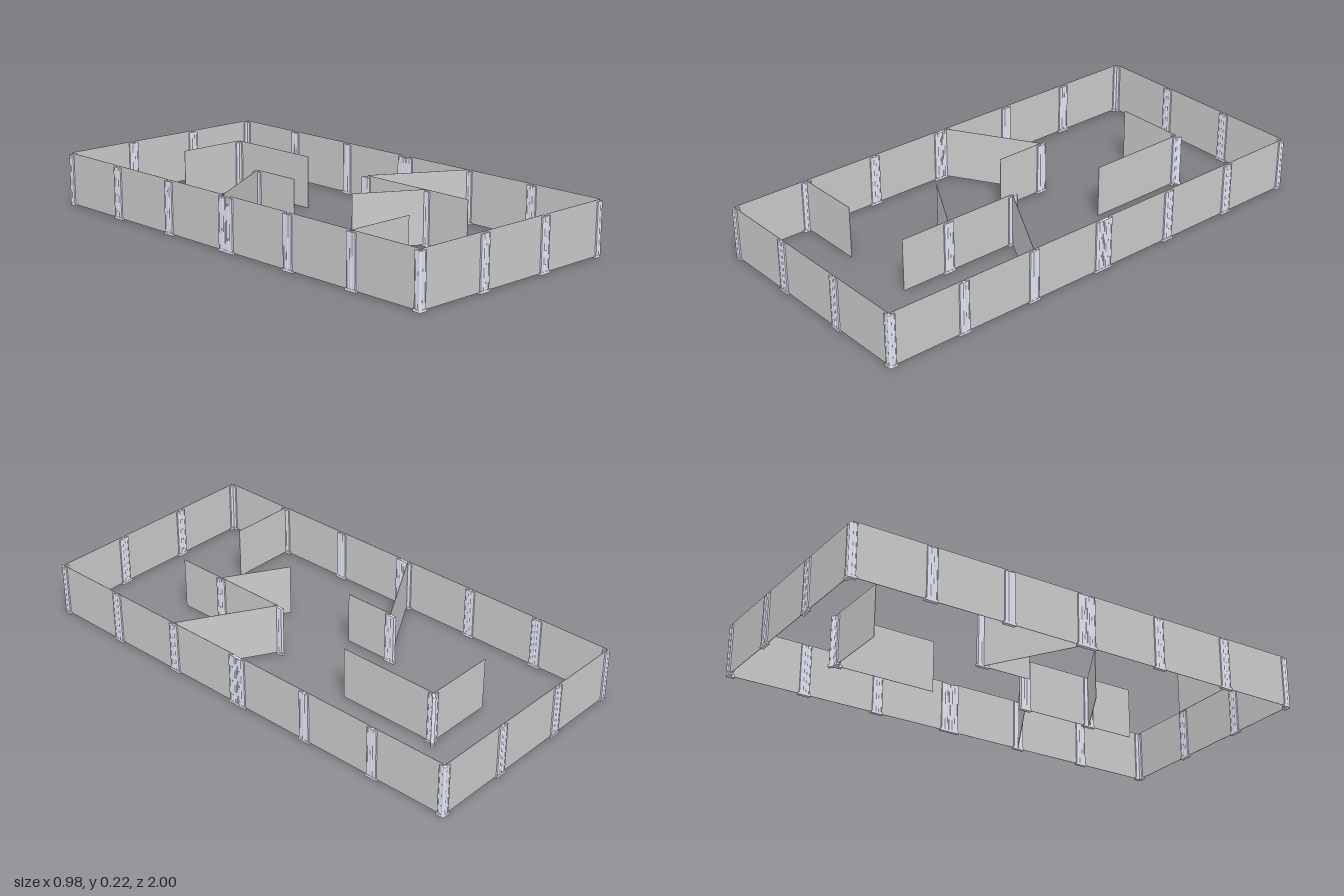
import * as THREE from 'three';

const panelMat = new THREE.MeshStandardMaterial({ color: 0xcccccc });
const postMat = new THREE.MeshStandardMaterial({ color: 0xe4e7f5 });

const BOTTOM = 0.005, TOP = 0.222, POST_TOP = 0.215, FOOT = 0.01;
const X = 0.483, Z = 0.992;

// Thin upright sheet between two plan points, shortened at each end
function addPanel(parent, name, [x1, z1], [x2, z2], trim1 = 0, trim2 = trim1) {
  const dx = x2 - x1, dz = z2 - z1, full = Math.hypot(dx, dz);
  const length = full - trim1 - trim2;
  const mid = (trim1 + length / 2) / full;
  const mesh = new THREE.Mesh(new THREE.BoxGeometry(length, TOP - BOTTOM, 0.002), panelMat);
  mesh.name = name;
  mesh.position.set(x1 + dx * mid, (TOP + BOTTOM) / 2, z1 + dz * mid);
  mesh.rotation.y = Math.atan2(-dz, dx);
  parent.add(mesh);
}

// Box arm running outwards from the post's axis
function addArm(post, name, angle, length, width, y0, y1) {
  const geo = new THREE.BoxGeometry(length, y1 - y0, width);
  geo.translate(length / 2, (y0 + y1) / 2, 0);
  const mesh = new THREE.Mesh(geo, postMat);
  mesh.name = name;
  mesh.rotation.y = -angle;
  post.add(mesh);
}

// Clamp post: round core, one slotted arm and foot for each plan angle (0 = +x, 90 = +z)
function addPost(parent, name, x, z, angles) {
  const post = new THREE.Group();
  post.name = name;
  post.position.set(x, 0, z);
  const core = new THREE.Mesh(new THREE.CylinderGeometry(0.0075, 0.0075, POST_TOP, 16), postMat);
  core.name = 'postCore';
  core.position.y = POST_TOP / 2;
  post.add(core);
  for (const deg of angles) {
    const a = THREE.MathUtils.degToRad(deg);
    addArm(post, 'postArm', a, 0.022, 0.011, 0, POST_TOP);
    addArm(post, 'postFoot', a, 0.027, 0.015, 0, FOOT);
    // Lips that grip the panel's face along the arm's outer edge
    const lip = new THREE.BoxGeometry(0.004, POST_TOP - FOOT, 0.014);
    lip.translate(0.02, (POST_TOP + FOOT) / 2, 0);
    const lipMesh = new THREE.Mesh(lip, postMat);
    lipMesh.name = 'postLip';
    lipMesh.rotation.y = -a;
    post.add(lipMesh);
  }
  parent.add(post);
}

export function createModel() {
  const model = new THREE.Group();
  model.name = 'walledArena';
  const border = new THREE.Group();
  border.name = 'borderWalls';
  const inner = new THREE.Group();
  inner.name = 'innerWalls';
  model.add(border, inner);

  const alongX = [0, 180], alongZ = [90, 270];

  // Short end walls: three panels, two posts
  const xs = [-X, -0.163, 0.163, X];
  for (const s of [1, -1]) {
    for (let i = 0; i < 3; i++) addPanel(border, 'endPanel', [xs[i], s * Z], [xs[i + 1], s * Z], 0.006);
    for (const x of xs.slice(1, 3)) addPost(border, 'endPost', x, s * Z, alongX);
  }

  // Long side walls: two runs of three panels that meet at a pair of middle posts
  const zs = [Z, 0.668, 0.342, 0.017];
  for (const sx of [1, -1]) for (const sz of [1, -1]) {
    for (let i = 0; i < 3; i++) addPanel(border, 'sidePanel', [sx * X, sz * zs[i]], [sx * X, sz * zs[i + 1]], 0.006);
    for (const z of zs.slice(1)) addPost(border, 'sidePost', sx * X, sz * z, alongZ);
    addPost(border, 'cornerPost', sx * X, sz * Z, [sx > 0 ? 180 : 0, sz > 0 ? 270 : 90]);
  }

  // Inner panels: start and end in plan
  const walls = [
    [[0.178, -0.693], [-0.122, -0.693]],
    [[0.178, -0.693], [0.178, -0.262]],
    [[-0.127, -0.228], [-X, -0.017]],
    [[-0.127, -0.228], [-0.127, -0.013]],
    [[0.122, 0.135], [X, 0.343]],
    [[0.122, 0.135], [0.122, 0.449]],
    [[0.122, 0.449], [0.122, 0.662]],
    [[0.122, 0.449], [-0.127, 0.305]],
    [[-X, 0.667], [-0.198, 0.667]],
  ];
  for (const [a, b] of walls) addPanel(inner, 'innerPanel', a, b, 0.004, 0);

  // Inner posts, one of them three-way
  addPost(inner, 'threeWayPost', 0.178, -0.693, [180, 90, -45]);
  for (const [x, z] of [[-0.127, -0.228], [0.122, 0.135], [0.122, 0.449]]) addPost(inner, 'innerPost', x, z, alongZ);

  return model;
}
